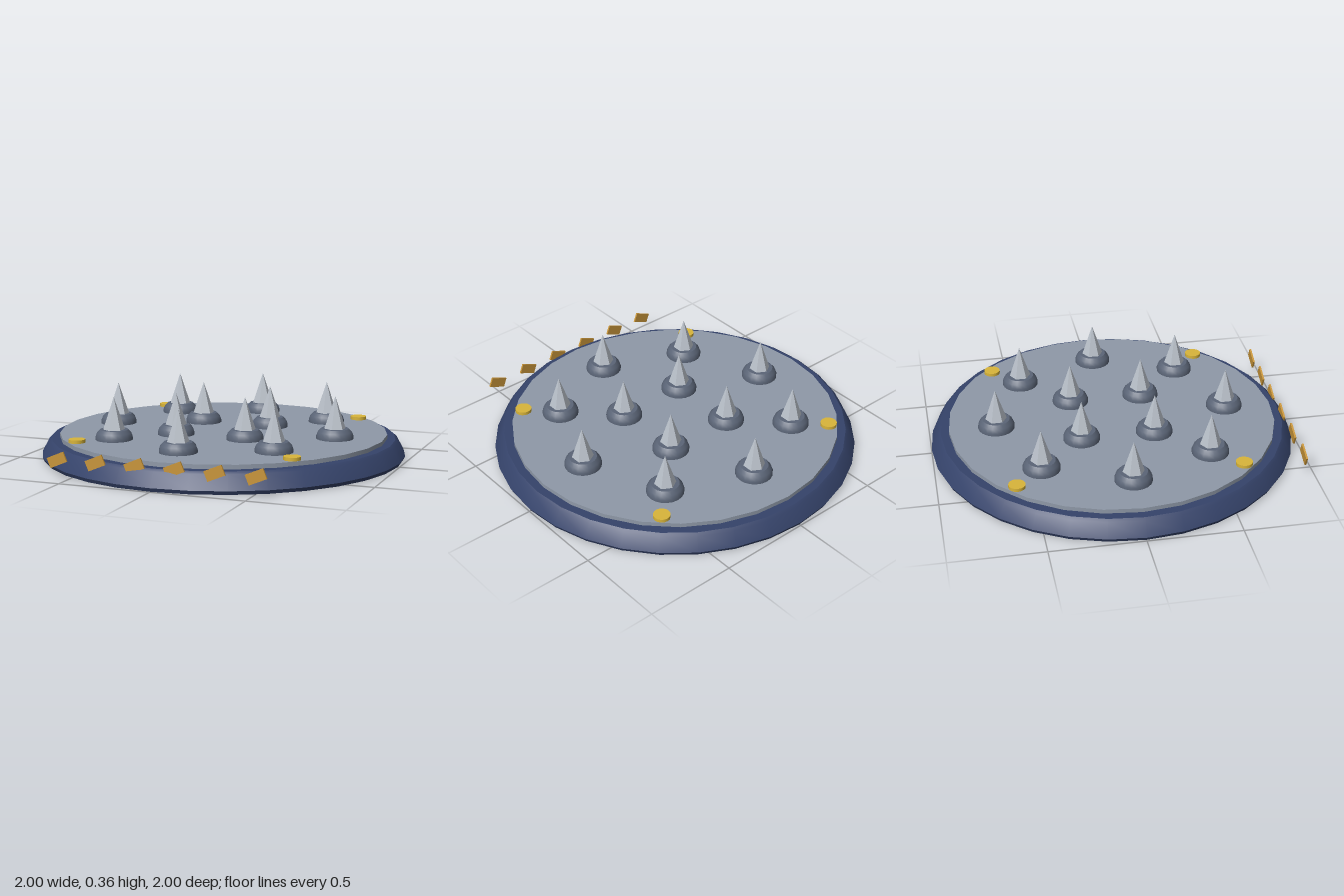
import * as THREE from 'three';
import { toCreasedNormals } from 'three/addons/utils/BufferGeometryUtils.js';

const paint = (color, flatShading = false) => new THREE.MeshStandardMaterial({ color, flatShading });

const navy = paint(0x35436a);
const steel = paint(0x8f99a8);
const iron = paint(0x5b6577);
const silver = paint(0xb9c0c9, true);
const gold = paint(0xd9b53a);
const bronze = paint(0xc8953a);

function add(parent, name, geometry, material, x = 0, y = 0, z = 0) {
  const mesh = new THREE.Mesh(geometry, material);
  mesh.name = name;
  mesh.position.set(x, y, z);
  parent.add(mesh);
  return mesh;
}

// Turned solid from [radius, height] pairs, bottom to top
function turned(points, sides) {
  const profile = points.map(([r, y]) => new THREE.Vector2(r, y));
  return toCreasedNormals(new THREE.LatheGeometry(profile, sides), 0.6);
}

export function createModel() {
  const model = new THREE.Group();
  model.name = 'spikeTrap';

  // Round base with sloping rim, and the floor plate set on it
  add(model, 'base', turned([[0, 0], [0.99, 0], [1, 0.02], [0.96, 0.095], [0.945, 0.107], [0, 0.107]], 32), navy);
  add(model, 'plate', new THREE.CylinderGeometry(0.9, 0.9, 0.03, 28), steel, 0, 0.115, 0);

  // Spikes: an outer ring of eight and an inner square of four
  const spots = [];
  for (let i = 0; i < 8; i++) {
    const a = (i * Math.PI) / 4;
    spots.push([0.64 * Math.sin(a), 0.64 * Math.cos(a)]);
  }
  for (const x of [-0.2, 0.2]) for (const z of [-0.2, 0.2]) spots.push([x, z]);

  const collar = turned([[0, 0], [0.1, 0], [0.1, 0.015], [0.092, 0.037], [0.075, 0.055], [0, 0.055]], 20);
  const cone = new THREE.ConeGeometry(0.06, 0.18, 6);
  for (const [x, z] of spots) {
    const spike = new THREE.Group();
    spike.name = 'spike';
    spike.position.set(x, 0.13, z);
    add(spike, 'spikeCollar', collar, iron);
    add(spike, 'spikePoint', cone, silver, 0, 0.14, 0);
    model.add(spike);
  }

  // Four rivets near the plate edge
  const rivet = new THREE.CylinderGeometry(0.045, 0.045, 0.022, 16);
  for (const x of [-0.6, 0.6]) for (const z of [-0.6, 0.6]) add(model, 'rivet', rivet, gold, x, 0.137, z);

  // Tilted warning stripes along the front
  const stripe = new THREE.BoxGeometry(0.1, 0.055, 0.01);
  for (let i = 0; i < 6; i++) {
    add(model, 'warningStripe', stripe, bronze, (i - 2.5) * 0.214, 0.11, 0.947).rotation.z = 0.4;
  }
  return model;
}
